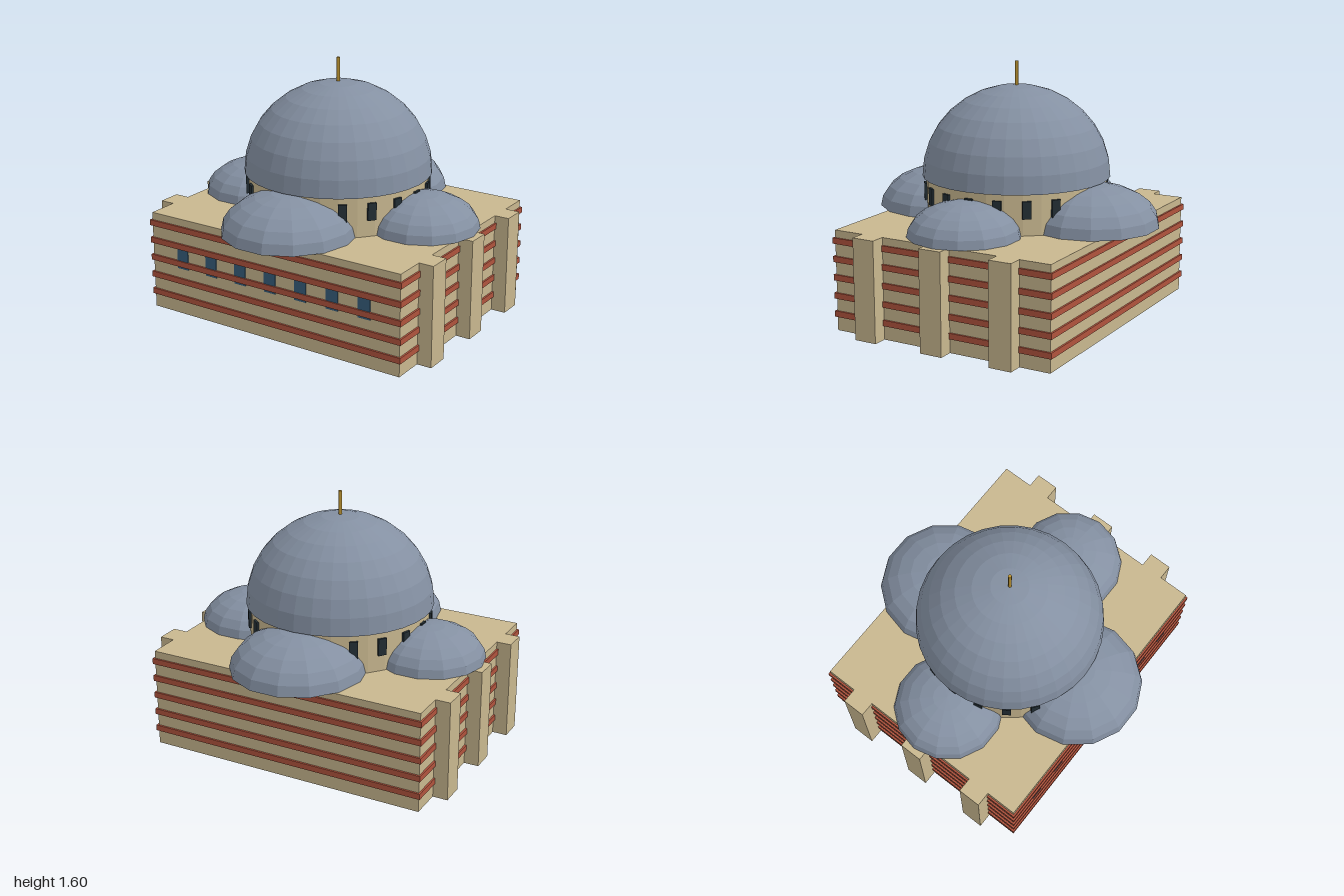
import * as THREE from 'three';

const material = (name, color, extra = {}) => {
  const m = new THREE.MeshStandardMaterial({ color, ...extra });
  m.name = name;
  return m;
};

export function createModel() {
  const stone = material('sandstone', 0xc8b78f, { flatShading: true });
  const brick = material('red brick', 0xb0533d);
  const lead = material('lead grey', 0x8490a2, { flatShading: true });
  const glass = material('blue glass', 0x365d7a);
  const dark = material('dark opening', 0x222d33);
  const gold = material('gold', 0xb8902f);

  const model = new THREE.Group();
  model.name = 'domedHall';

  const add = (name, geometry, mat, x = 0, y = 0, z = 0, parent = model) => {
    const mesh = new THREE.Mesh(geometry, mat);
    mesh.name = name;
    mesh.position.set(x, y, z);
    parent.add(mesh);
    return mesh;
  };
  const box = (name, w, h, d, mat, x, y, z, parent) =>
    add(name, new THREE.BoxGeometry(w, h, d), mat, x, y, z, parent);

  // Closed half dome standing on height y
  const dome = (name, radius, height, sides, rings, x, y, z) => {
    const group = new THREE.Group();
    group.name = name;
    group.position.set(x, y, z);
    model.add(group);
    const shell = new THREE.SphereGeometry(radius, sides, rings, 0, Math.PI * 2, 0, Math.PI / 2);
    shell.scale(1, height / radius, 1);
    add(name + 'Shell', shell, lead, 0, 0, 0, group);
    const base = new THREE.CircleGeometry(radius, sides);
    base.rotateX(Math.PI / 2);
    add(name + 'Underside', base, lead, 0, 0.001, 0, group);
  };

  // Main block
  const roofY = 0.634;
  box('hallBlock', 1.812, roofY, 1.476, stone, 0, roofY / 2, 0);

  // Brick courses wrapping the block
  for (let i = 0; i < 5; i++) {
    box('brickCourse', 1.835, 0.037, 1.5, brick, 0, 0.107 + i * 0.1153, 0);
  }

  // Buttresses on both side walls
  for (const side of [-1, 1]) {
    for (const z of [-0.465, 0, 0.465]) {
      box('buttress', 0.1, roofY, 0.147, stone, side * 0.95, roofY / 2, z);
    }
  }

  // Row of front windows
  for (let i = -3; i <= 3; i++) {
    box('frontWindow', 0.083, 0.129, 0.008, glass, i * 0.2225, 0.3695, 0.739);
  }

  // Drum with a ring of narrow openings
  const drumTop = 0.887;
  add('drum', new THREE.CylinderGeometry(0.565, 0.565, drumTop - roofY, 32), stone,
    0, (roofY + drumTop) / 2, 0);
  for (let i = 0; i < 20; i++) {
    const a = (i / 20) * Math.PI * 2;
    const opening = box('drumOpening', 0.054, 0.108, 0.022, dark,
      Math.sin(a) * 0.567, 0.792, Math.cos(a) * 0.567);
    opening.rotation.y = a;
  }

  // Main dome and the four lower domes around it
  dome('mainDome', 0.588, 0.565, 32, 8, 0, drumTop, 0);
  for (const s of [-1, 1]) {
    dome(s > 0 ? 'frontDome' : 'backDome', 0.418, 0.251, 14, 6, 0, roofY, s * 0.532);
    dome(s > 0 ? 'leftDome' : 'rightDome', 0.345, 0.207, 14, 6, s * 0.622, roofY, 0);
  }

  // Finial
  add('finial', new THREE.CylinderGeometry(0.011, 0.011, 0.16, 8), gold, 0, 1.52, 0);

  return model;
}
